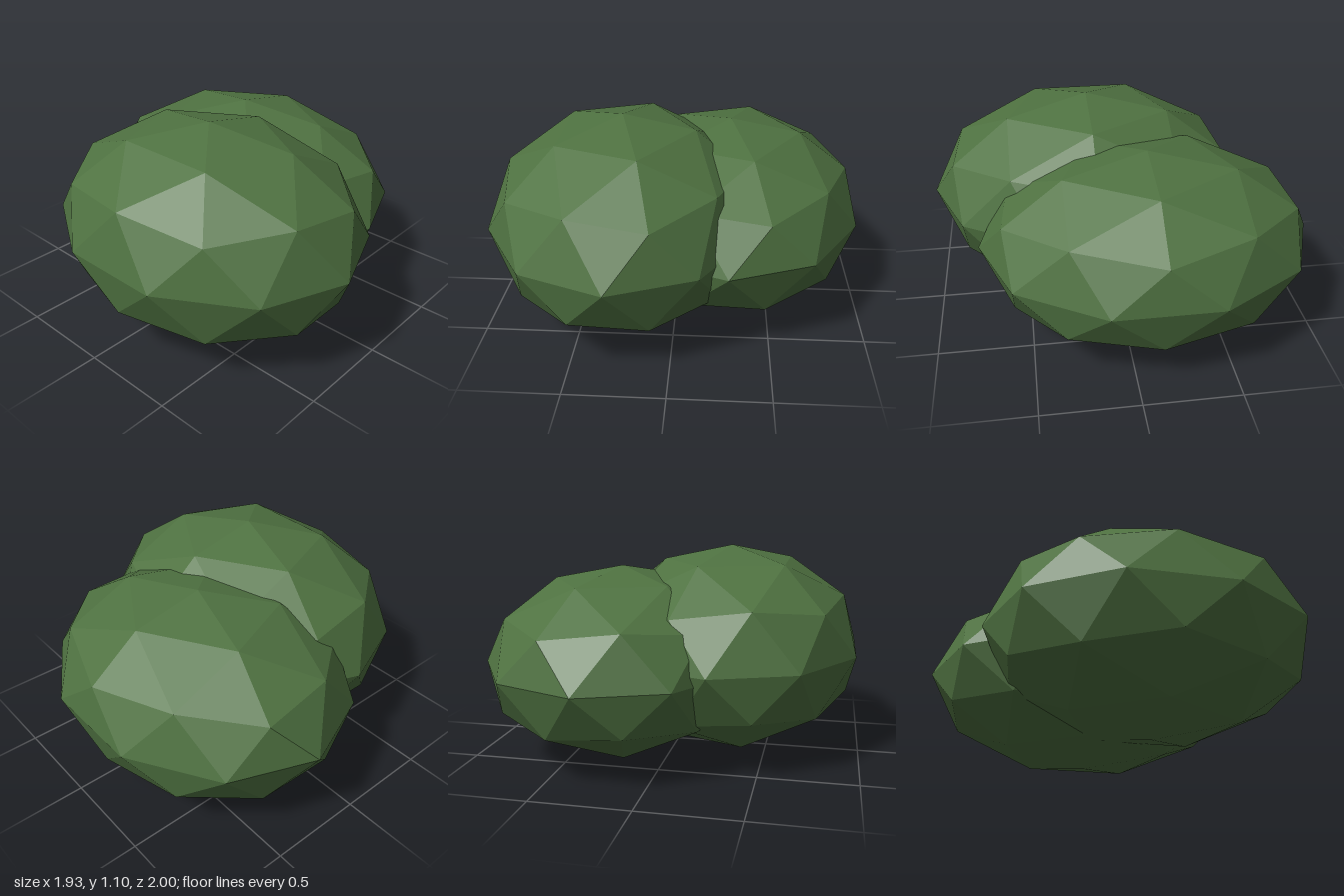
import * as THREE from 'three';

// Faceted ellipsoid with one vertex straight up and one upper-ring vertex toward +x
function lobe(name, material, center, radii) {
  const geometry = new THREE.IcosahedronGeometry(1, 1);
  geometry.rotateZ(-Math.atan(2 / (1 + Math.sqrt(5))));
  geometry.scale(...radii);
  geometry.computeVertexNormals();
  const mesh = new THREE.Mesh(geometry, material);
  mesh.name = name;
  mesh.position.set(...center);
  return mesh;
}

export function createModel() {
  const model = new THREE.Group();
  model.name = 'bush';
  const leafGreen = new THREE.MeshStandardMaterial({ color: 0x4f7241, flatShading: true });
  leafGreen.name = 'leafGreen';

  // Taller front clump and lower back clump, overlapping in the middle
  model.add(
    lobe('frontFoliage', leafGreen, [-0.28, 0.55, 0.128], [0.72, 0.55, 0.872]),
    lobe('backFoliage', leafGreen, [0.28, 0.5, -0.124], [0.718, 0.5, 0.876]),
  );
  return model;
}
